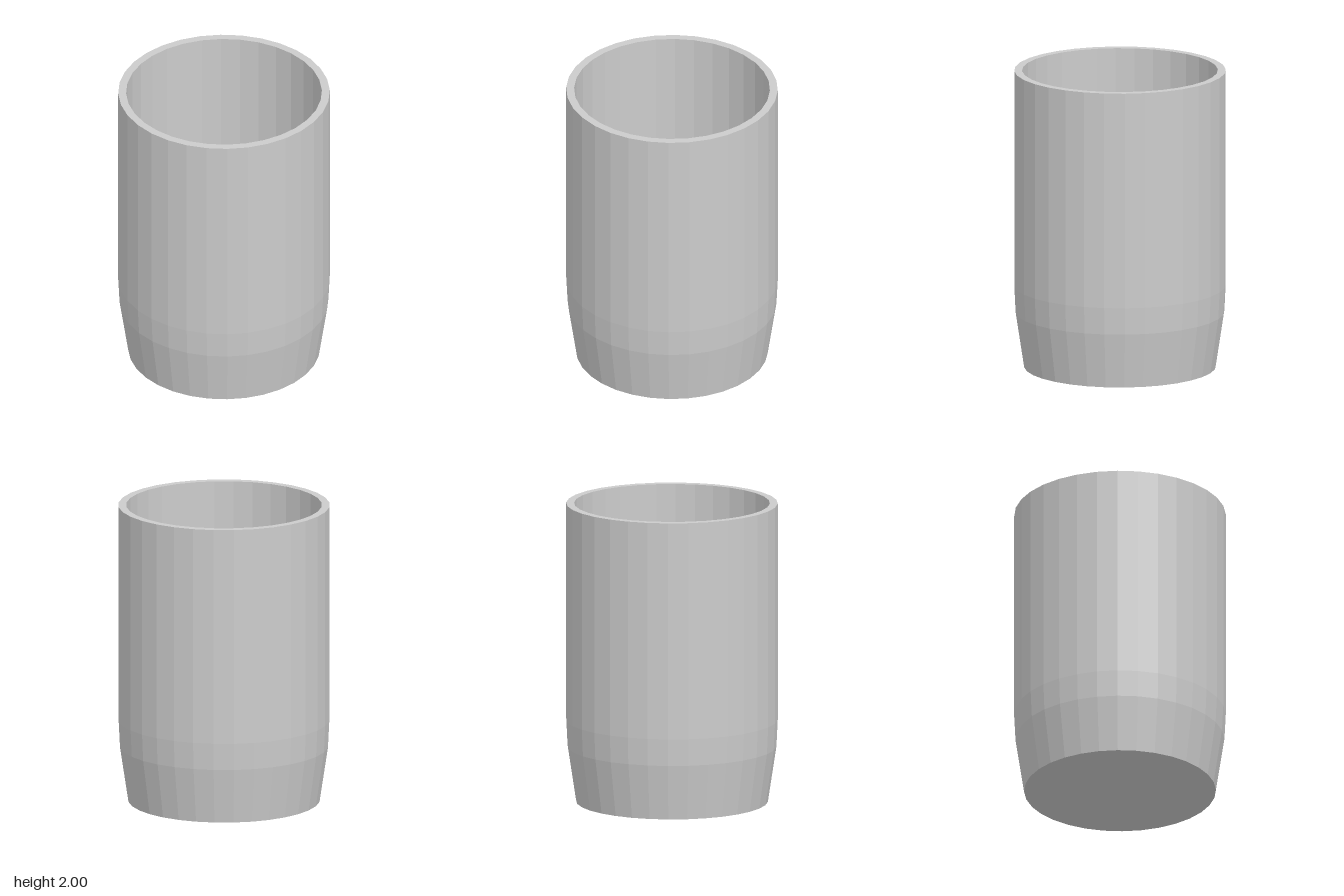
import * as THREE from 'three';

const SIDES = 32;

export function createModel() {
  const group = new THREE.Group();
  group.name = 'cup';
  const material = new THREE.MeshStandardMaterial({ color: 0xcccccc, flatShading: true });

  // Turns a [radius, height] profile into a faceted solid of revolution
  const addLathe = (name, profile) => {
    const points = profile.map(([r, y]) => new THREE.Vector2(r, y));
    const mesh = new THREE.Mesh(new THREE.LatheGeometry(points, SIDES), material);
    mesh.name = name;
    group.add(mesh);
  };

  // Closed base and outer wall, tapering in towards the foot
  addLathe('outerWall', [[0, 0], [0.632, 0], [0.688, 0.37], [0.697, 0.55], [0.697, 2]]);

  // Flat ring around the opening
  addLathe('rim', [[0.697, 2], [0.645, 2]]);

  // Straight inner wall down to a flat floor
  addLathe('innerWall', [[0.645, 2], [0.645, 0.2]]);
  addLathe('floor', [[0.645, 0.2], [0, 0.2]]);

  return group;
}
